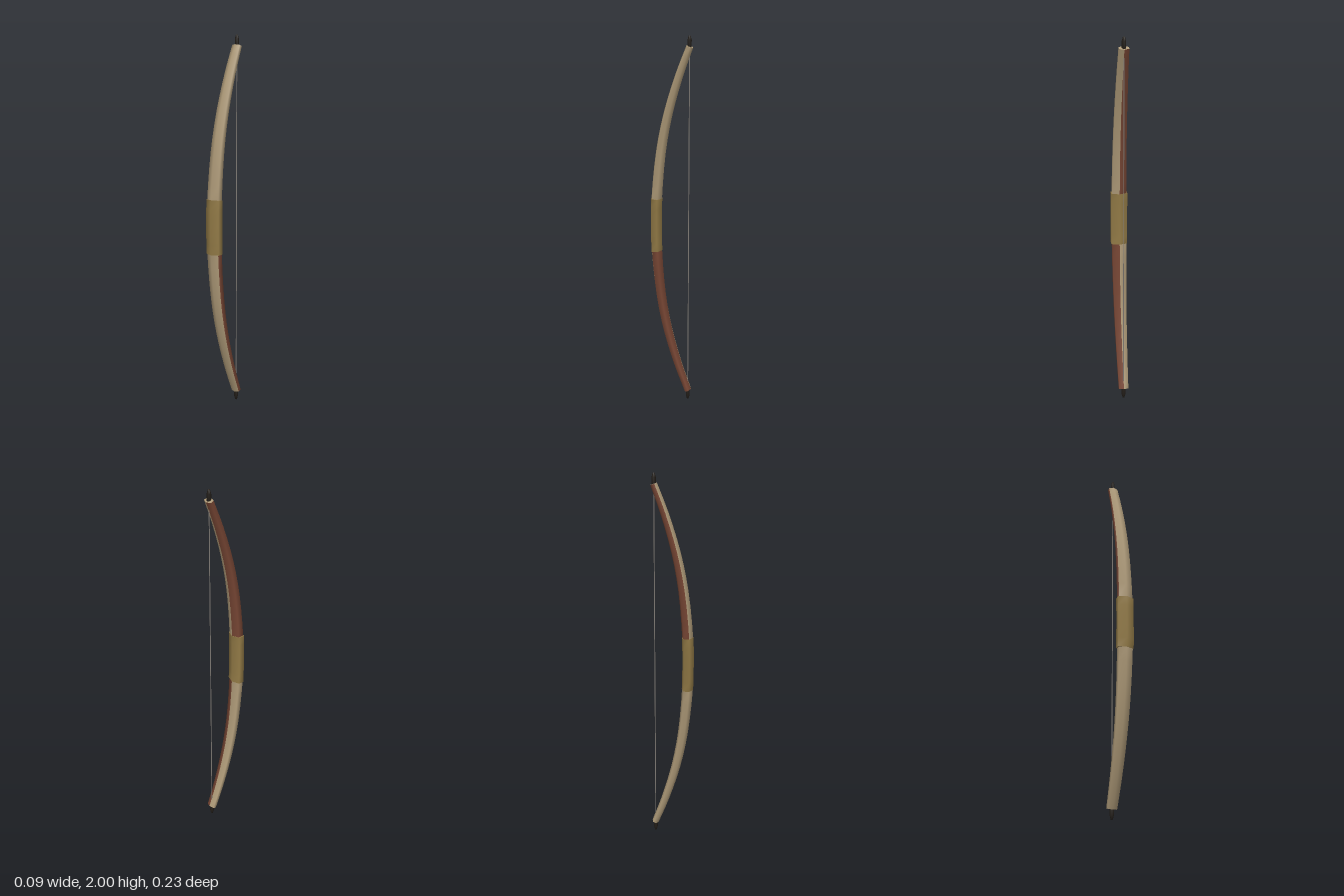
import * as THREE from 'three';

const mat = (name, color, side = THREE.FrontSide) => {
  const m = new THREE.MeshStandardMaterial({ color, side });
  m.name = name;
  return m;
};

// Bow centreline, from the lower tip to the upper tip
const half = [[0.15, 0.08], [0.4, 0.056], [0.6, 0.017], [0.8, -0.043], [0.945, -0.098]];
const point = (d, z) => new THREE.Vector3(0, 1 + d, z);
const centreline = new THREE.CatmullRomCurve3([
  ...half.map(([d, z]) => point(-d, z)).reverse(),
  point(0, 0.083),
  ...half.map(([d, z]) => point(d, z)),
]);

// Six-sided loft along the centreline; backedFaces get the second material
function loft(u0, u1, steps, radii, backedFaces = []) {
  const pos = [], plain = [], backed = [];
  for (let i = 0; i <= steps; i++) {
    const u = u0 + (u1 - u0) * i / steps;
    const c = centreline.getPoint(u), t = centreline.getTangent(u);
    const [rx, rz] = radii(Math.abs(c.y - 1));
    for (let k = 0; k < 6; k++) {
      const a = k * Math.PI / 3;
      const out = Math.cos(a) * rz;
      pos.push(Math.sin(a) * rx, c.y - t.z * out, c.z + t.y * out);
    }
  }
  for (let i = 0; i < steps; i++) {
    for (let k = 0; k < 6; k++) {
      const a = i * 6 + k, b = i * 6 + (k + 1) % 6;
      (backedFaces.includes(k) ? backed : plain).push(a, b, b + 6, a, b + 6, a + 6);
    }
  }
  // End caps on their own vertices keep the rim sharp
  for (const end of [0, steps]) {
    const base = pos.length / 3;
    pos.push(...pos.slice(end * 18, end * 18 + 18));
    for (let k = 1; k < 5; k++) {
      plain.push(base, ...(end ? [base + k, base + k + 1] : [base + k + 1, base + k]));
    }
  }
  const g = new THREE.BufferGeometry();
  g.setAttribute('position', new THREE.Float32BufferAttribute(pos, 3));
  g.setIndex([...plain, ...backed]);
  g.addGroup(0, plain.length, 0);
  g.addGroup(plain.length, backed.length, 1);
  g.computeVertexNormals();
  return g;
}

// Curve parameter at a given height
function paramAt(y) {
  let lo = 0, hi = 1;
  for (let i = 0; i < 30; i++) {
    const mid = (lo + hi) / 2;
    if (centreline.getPoint(mid).y < y) lo = mid; else hi = mid;
  }
  return lo;
}

export function createModel() {
  const bow = new THREE.Group();
  bow.name = 'bow';
  const wood = mat('pale wood', 0xae9a78);
  const backing = mat('red brown backing', 0x774634);
  const leather = mat('grip leather', 0x927a46);
  const horn = mat('dark horn', 0x221d18);
  const cord = mat('bowstring cord', 0x85807a);

  const add = (name, geometry, material, parent = bow) => {
    const m = new THREE.Mesh(geometry, material);
    m.name = name;
    parent.add(m);
    return m;
  };

  // Limbs taper towards the tips
  const limbRadii = (d) => {
    const f = THREE.MathUtils.clamp((d - 0.14) / 0.8, 0, 1);
    const ease = 0.6 * f + 0.4 * f * f;
    return [0.0445 - 0.0145 * ease, 0.0295 - 0.011 * ease];
  };
  const low = paramAt(0.858), high = paramAt(1.148);
  add('lowerLimb', loft(0, low, 12, limbRadii, [1, 2]), [wood, backing]);
  add('upperLimb', loft(high, 1, 12, limbRadii, [3, 4]), [wood, backing]);

  // Wrapped grip, slightly wider than the limbs
  add('grip', loft(low, high, 6, () => [0.05, 0.031]), [leather, leather]);

  // Horn nocks on both tips
  const nockProfile = [[0, -0.02], [0.011, -0.02], [0.011, 0.034], [0.005, 0.055], [0, 0.055]]
    .map(([r, y]) => new THREE.Vector2(r, y));
  for (const s of [1, -1]) {
    const nock = add(s > 0 ? 'upperNock' : 'lowerNock', new THREE.LatheGeometry(nockProfile, 8), horn);
    nock.position.set(0, 1 + s * 0.945, -0.097);
    if (s < 0) nock.rotation.z = Math.PI;
  }

  // Bowstring
  const string = add('bowstring', new THREE.CylinderGeometry(0.0025, 0.0025, 1.9, 6), cord);
  string.position.set(0, 1, -0.097);
  return bow;
}
